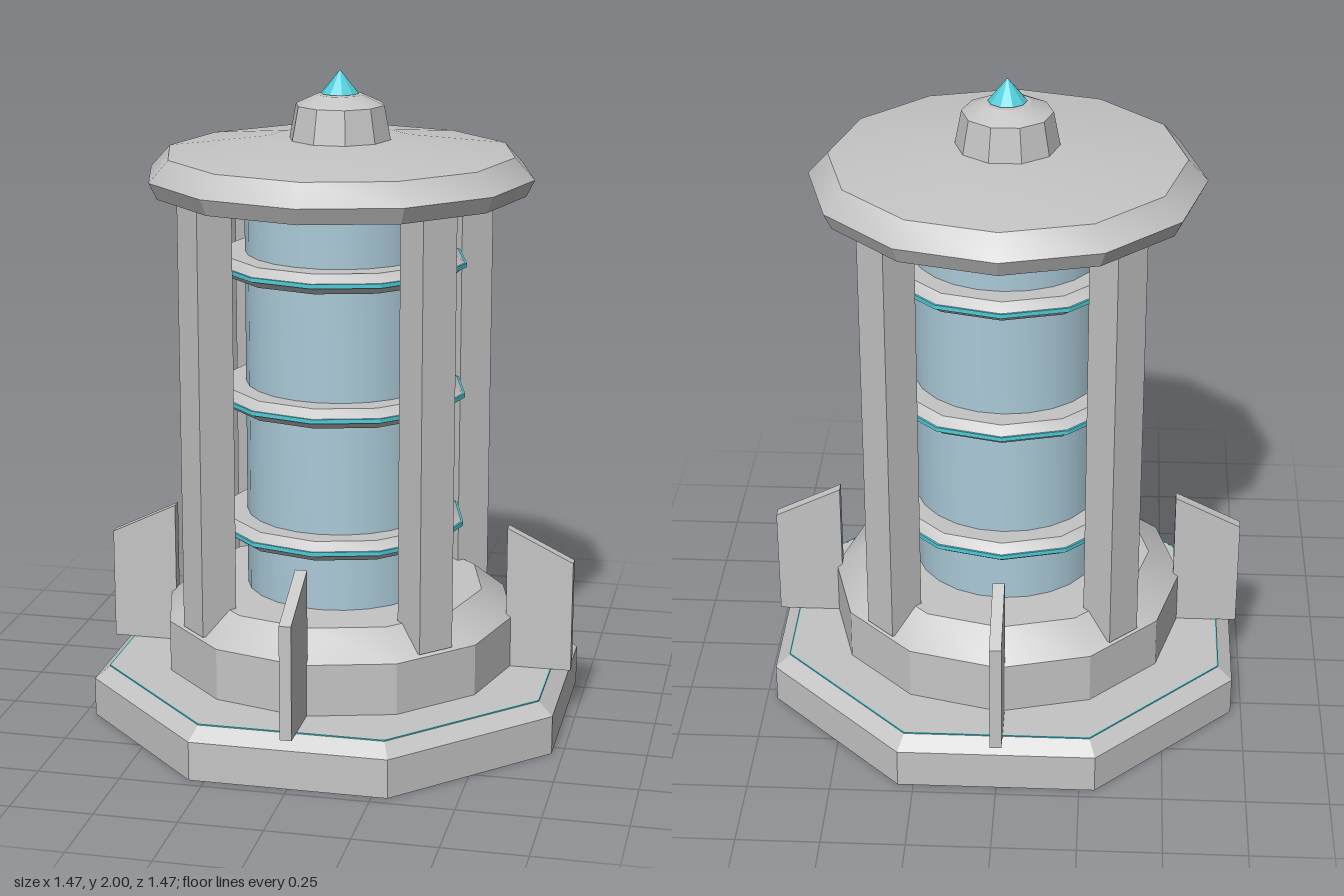
import * as THREE from 'three';
import { toCreasedNormals } from 'three/addons/utils/BufferGeometryUtils.js';

export function createModel() {
  const model = new THREE.Group();
  model.name = 'energyCoreTower';

  const material = (name, color) => {
    const m = new THREE.MeshStandardMaterial({ color });
    m.name = name;
    return m;
  };
  const grey = material('stone grey', 0xc4c4c4);
  const blue = material('pale blue', 0xaacad8);
  const cyan = material('glowing cyan', 0x50ccd9);

  const add = (name, geometry, mat, parent = model) => {
    const mesh = new THREE.Mesh(geometry, mat);
    mesh.name = name;
    parent.add(mesh);
    return mesh;
  };

  // Turned part with a given number of sides; profile runs from bottom to top
  const turned = (name, profile, sides, mat, turn = 0) => {
    const points = profile.map(([r, y]) => new THREE.Vector2(r, y));
    const geometry = new THREE.LatheGeometry(points, sides);
    geometry.rotateY(turn);
    return add(name, toCreasedNormals(geometry, 0.4), mat);
  };

  // Octagonal plinth, flats facing the axes
  const oct = 1 / Math.cos(Math.PI / 8);
  turned('plinth', [[0, 0], [0.717 * oct, 0], [0.717 * oct, 0.12], [0.67 * oct, 0.16], [0, 0.16]],
    8, grey, Math.PI / 8);
  turned('plinthGlowLine', [[0.673 * oct, 0.154], [0.673 * oct, 0.161], [0.669 * oct, 0.161]],
    8, cyan, Math.PI / 8);

  // Twelve-sided pedestal
  turned('pedestal', [[0, 0.16], [0.55, 0.16], [0.55, 0.32], [0.45, 0.4], [0, 0.4]], 12, grey);

  // Central column
  turned('core', [[0.288, 0.39], [0.288, 1.65]], 24, blue);

  // Bevelled collars with a glowing rim
  for (const y of [0.61, 1.02, 1.425]) {
    turned('collar', [[0.28, y - 0.03], [0.355, y - 0.03], [0.385, y - 0.004], [0.385, y + 0.004],
      [0.355, y + 0.03], [0.28, y + 0.03]], 12, grey);
    turned('collarGlow', [[0.38, y - 0.007], [0.389, y - 0.007], [0.389, y + 0.006], [0.38, y + 0.006]],
      12, cyan);
  }

  // Fin outline, extruded to a thin plate
  const finShape = new THREE.Shape([[0.53, 0.16], [0.735, 0.16], [0.735, 0.51], [0.53, 0.61]]
    .map(([x, y]) => new THREE.Vector2(x, y)));
  const finGeometry = new THREE.ExtrudeGeometry(finShape, { depth: 0.036, bevelEnabled: false });
  finGeometry.translate(0, 0, -0.018);
  const pillarGeometry = new THREE.BoxGeometry(0.117, 1.33, 0.117);
  const stripGeometry = new THREE.BoxGeometry(0.009, 1.1, 0.045);

  for (let i = 0; i < 4; i++) {
    // Fins on the axes
    add('fin', finGeometry, grey).rotation.y = i * Math.PI / 2;

    // Pillars on the diagonals, with a glowing strip on the inner face
    const post = new THREE.Group();
    post.name = 'pillarGroup';
    post.rotation.y = (i + 0.5) * Math.PI / 2;
    add('pillar', pillarGeometry, grey, post).position.set(0.47, 0.995, 0);
    add('pillarGlow', stripGeometry, cyan, post).position.set(0.408, 1.05, 0);
    model.add(post);
  }

  // Roof, cap and pointed crystal
  turned('roof', [[0, 1.64], [0.565, 1.64], [0.59, 1.69], [0.53, 1.755], [0.22, 1.795], [0, 1.795]],
    12, grey);
  turned('cap', [[0.156, 1.79], [0.135, 1.897], [0.07, 1.927], [0, 1.927]], 10, grey, Math.PI / 2);
  turned('crystal', [[0, 1.925], [0.058, 1.93], [0, 2]], 10, cyan, Math.PI / 2);

  return model;
}
